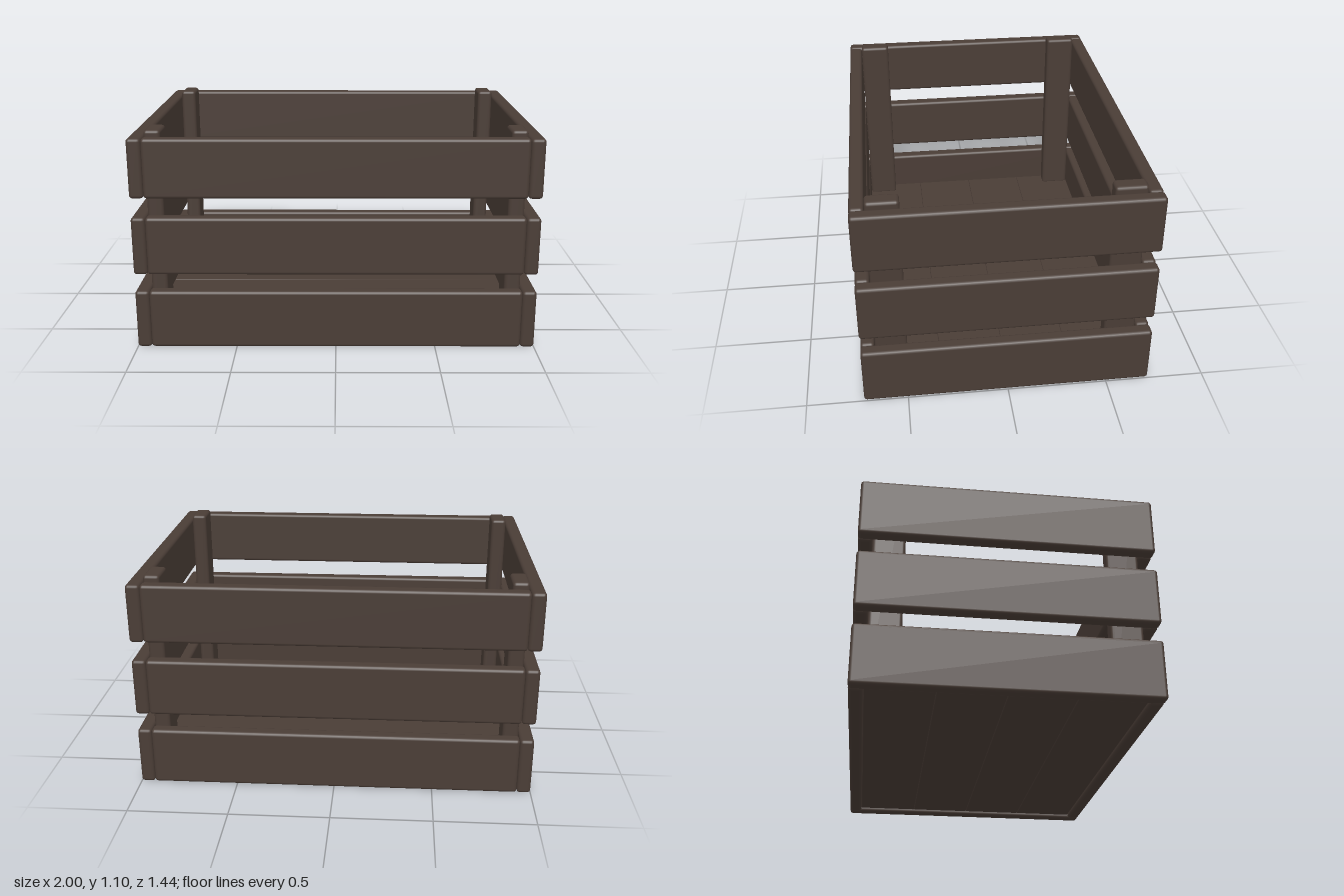
import * as THREE from 'three';
import { RoundedBoxGeometry } from 'three/addons/geometries/RoundedBoxGeometry.js';

export function createModel() {
  const crate = new THREE.Group();
  crate.name = 'crate';
  const wood = new THREE.MeshStandardMaterial({ color: 0x4a3d36 });
  wood.name = 'dark wood';

  // A softly bevelled board given by its extents on each axis
  function board(name, [x0, x1], [y0, y1], [z0, z1], bevel = 0.016) {
    const geometry = new RoundedBoxGeometry(x1 - x0, y1 - y0, z1 - z0, 2, bevel);
    const mesh = new THREE.Mesh(geometry, wood);
    mesh.name = name;
    mesh.position.set((x0 + x1) / 2, (y0 + y1) / 2, (z0 + z1) / 2);
    crate.add(mesh);
  }
  // Extents of a part on one side of the centre
  const onSide = (side, inner, outer) => (side > 0 ? [inner, outer] : [-outer, -inner]);

  // Three rows of wall slats; the end slats cover the ends of the long ones
  const rows = [[0, 0.298], [0.387, 0.68], [0.777, 1.073]];
  for (const row of rows) {
    for (const side of [1, -1]) {
      board(side > 0 ? 'frontSlat' : 'backSlat', [-0.93, 0.93], row, onSide(side, 0.65, 0.718));
      board(side > 0 ? 'leftSlat' : 'rightSlat', onSide(side, 0.93, 1), row, [-0.718, 0.718]);
    }
  }

  // Corner posts, standing on the floor and rising a little above the walls
  for (const sx of [1, -1]) {
    for (const sz of [1, -1]) {
      board('cornerPost', onSide(sx, 0.847, 0.928), [0.08, 1.1], onSide(sz, 0.49, 0.648));
    }
  }

  // Four floor boards, set just inside the lowest slats
  const width = 1.3 / 4;
  for (let i = 0; i < 4; i++) {
    const z = -0.65 + i * width;
    board('floorBoard', [-0.93, 0.93], [0.02, 0.09], [z, z + width], 0.004);
  }
  return crate;
}
